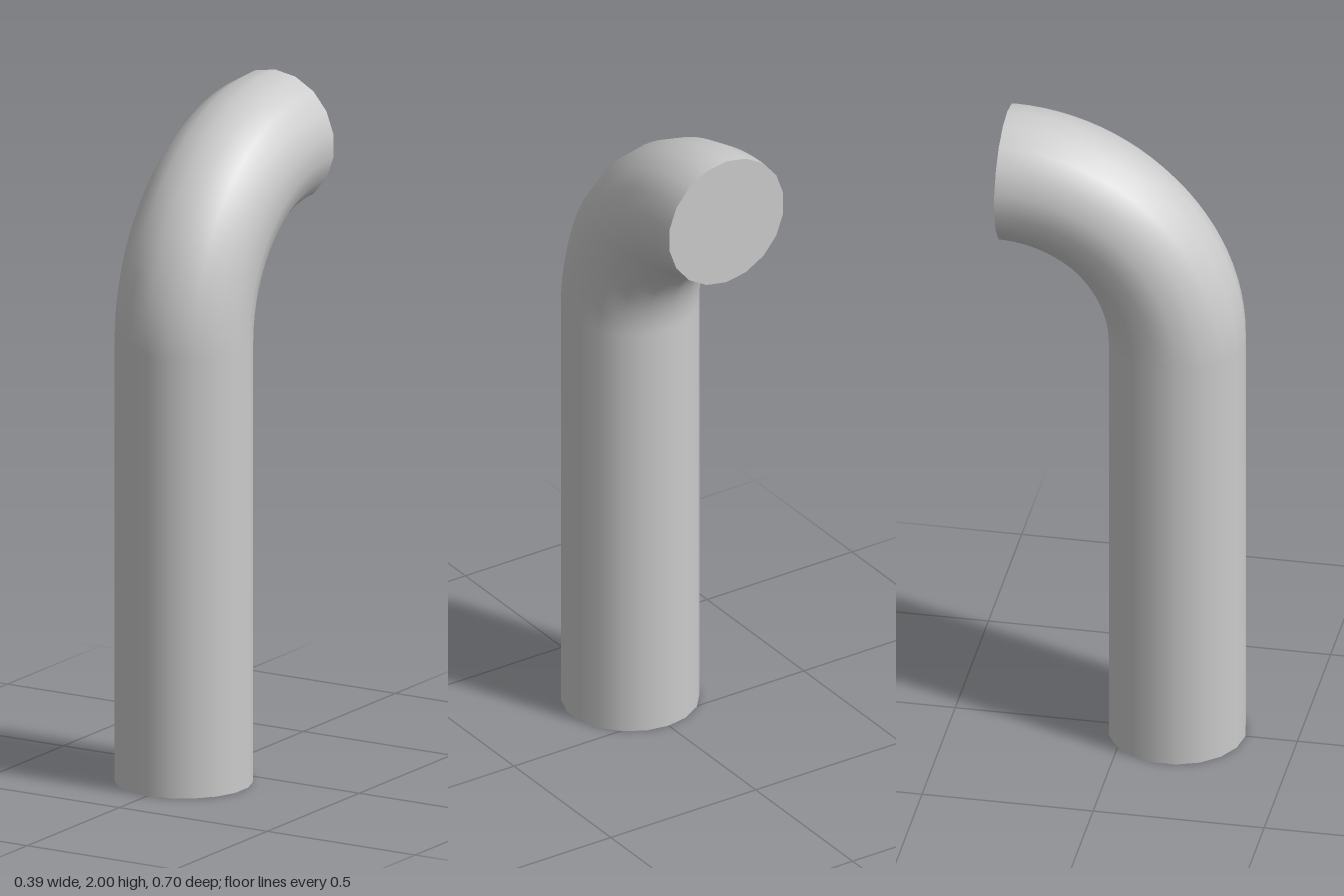
import * as THREE from 'three';

const R = 0.199;        // pipe radius
const BEND = 0.497;     // bend radius at the centre line
const AXIS_Z = 0.149;   // centre of the upright pipe
const BEND_Y = 1.304;   // height where the bend begins
const SIDES = 18;

export function createModel() {
  const model = new THREE.Group();
  model.name = 'bentPipe';
  const material = new THREE.MeshStandardMaterial({ color: 0xcccccc, side: THREE.DoubleSide });

  const add = (name, geometry, y, z) => {
    const mesh = new THREE.Mesh(geometry, material);
    mesh.name = name;
    mesh.position.set(0, y, z);
    model.add(mesh);
  };

  // Upright pipe, open at the bottom
  add('uprightPipe', new THREE.CylinderGeometry(R, R, BEND_Y, SIDES, 1, true), BEND_Y / 2, AXIS_Z);

  // Quarter-turn elbow, curving from upright towards the back
  const elbow = new THREE.TorusGeometry(BEND, R, SIDES, 24, Math.PI / 2).rotateY(-Math.PI / 2);
  add('elbow', elbow, BEND_Y, AXIS_Z - BEND);

  // Flat disc closing the rear end
  const cap = new THREE.CircleGeometry(R, SIDES, Math.PI / 2).rotateY(Math.PI);
  add('endCap', cap, BEND_Y + BEND, AXIS_Z - BEND);

  return model;
}
